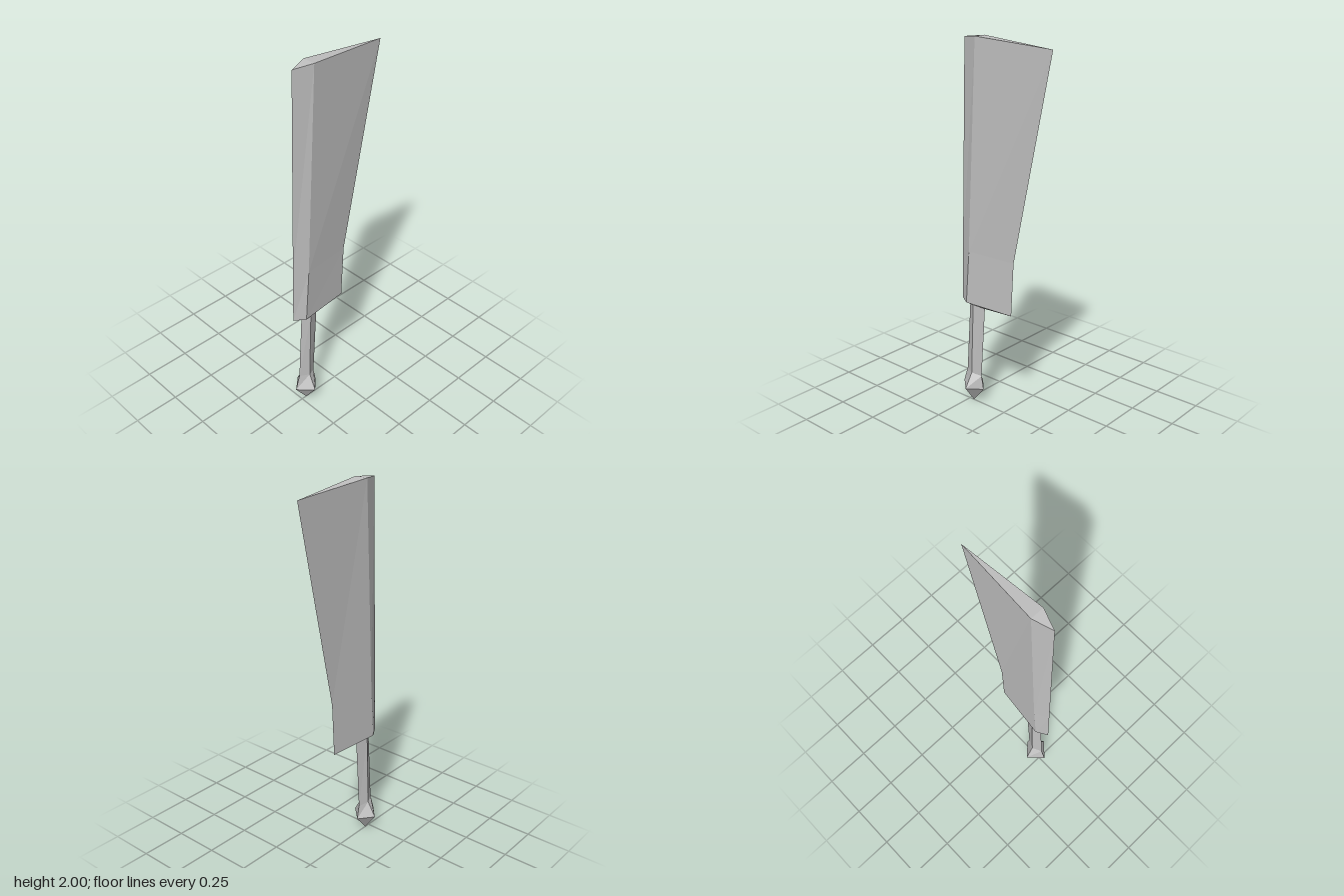
import * as THREE from 'three';

// A section is a four-cornered diamond: front, left (+x), back, right (-x)
const section = (front, side, back, halfWidth) => [
  [0, front[1], front[0]],
  [halfWidth, side[1], side[0]],
  [0, back[1], back[0]],
  [-halfWidth, side[1], side[0]],
];

// Joins sections from bottom to top and closes both ends on a middle point
function loft(sections, bottom, top) {
  const pos = [];
  const tri = (a, b, c) => pos.push(...a, ...b, ...c);
  for (let i = 0; i < 4; i++) {
    const j = (i + 1) % 4;
    for (let s = 0; s < sections.length - 1; s++) {
      const lo = sections[s], hi = sections[s + 1];
      tri(lo[i], lo[j], hi[j]);
      tri(lo[i], hi[j], hi[i]);
    }
    const first = sections[0], last = sections[sections.length - 1];
    tri(bottom, first[j], first[i]);
    tri(top, last[i], last[j]);
  }
  const geo = new THREE.BufferGeometry();
  geo.setAttribute('position', new THREE.Float32BufferAttribute(pos, 3));
  geo.computeVertexNormals();
  return geo;
}

export function createModel() {
  const model = new THREE.Group();
  model.name = 'cleaverSword';
  const steel = new THREE.MeshStandardMaterial({ color: 0xc0c0c0 });
  steel.name = 'steel grey';

  const add = (name, geo) => {
    const mesh = new THREE.Mesh(geo, steel);
    mesh.name = name;
    model.add(mesh);
  };

  // Blade: blunt spine at the front, long cutting edge flaring to the back; [z, y] pairs
  add('blade', loft([
    section([0.295, 0.6], [0.235, 0.595], [-0.05, 0.585], 0.035),
    section([0.287, 0.89], [0.212, 0.89], [-0.065, 0.88], 0.035),
    section([0.255, 1.99], [0.155, 2.0], [-0.295, 1.97], 0.035),
  ], [0, 0.573, 0.15], [0, 2.0, 0.155]));

  // Grip: slightly slanted diamond rod running into the blade
  add('grip', loft([
    section([0.265, 0.185], [0.212, 0.18], [0.162, 0.165], 0.025),
    section([0.238, 0.6], [0.195, 0.6], [0.132, 0.6], 0.025),
  ], [0, 0.18, 0.212], [0, 0.6, 0.19]));

  // Pommel: flared diamond ending in a point
  add('pommel', loft([
    section([0.292, 0.1], [0.216, 0.097], [0.148, 0.088], 0.071),
    section([0.265, 0.185], [0.212, 0.18], [0.162, 0.165], 0.025),
  ], [0, 0, 0.22], [0, 0.18, 0.212]));

  return model;
}
